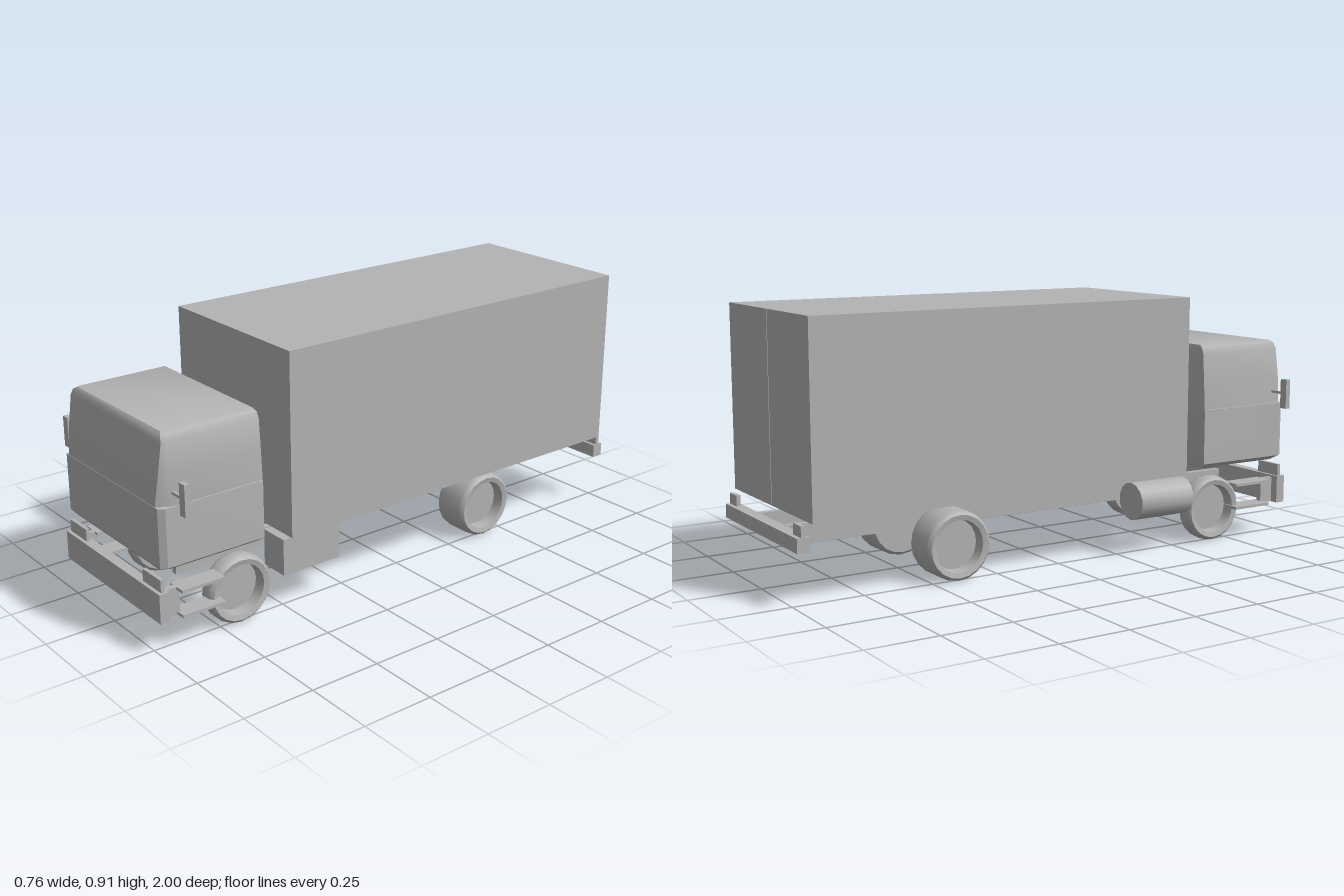
import * as THREE from 'three';
import { toCreasedNormals } from 'three/addons/utils/BufferGeometryUtils.js';

const grey = new THREE.MeshStandardMaterial({ color: 0xb3b3b3 });
grey.name = 'plain grey';

export function createModel() {
  const model = new THREE.Group();
  model.name = 'boxTruck';

  const add = (name, geometry) => {
    const mesh = new THREE.Mesh(geometry, grey);
    mesh.name = name;
    model.add(mesh);
    return mesh;
  };
  // Box given by its limits on each axis
  const box = (name, x0, x1, y0, y1, z0, z1) =>
    add(name, new THREE.BoxGeometry(x1 - x0, y1 - y0, z1 - z0)
      .translate((x0 + x1) / 2, (y0 + y1) / 2, (z0 + z1) / 2));
  // The same box on both sides
  const pair = (name, x0, x1, ...rest) => {
    box(name + 'Left', x0, x1, ...rest);
    box(name + 'Right', -x1, -x0, ...rest);
  };

  // Cargo body with two rear doors
  box('cargoBody', -0.322, 0.322, 0.275, 0.915, -0.952, 0.507);
  pair('rearDoor', 0.002, 0.322, 0.275, 0.915, -0.956, -0.952);

  // Chassis
  pair('chassisRail', 0.098, 0.12, 0.165, 0.232, -0.96, 0.83);
  box('crossMember', -0.098, 0.098, 0.18, 0.22, 0.36, 0.44);

  // Rear bumper and its brackets
  box('rearBumper', -0.3, 0.3, 0.183, 0.231, -1, -0.957);
  pair('rearBracket', 0.238, 0.297, 0.231, 0.268, -0.985, -0.97);

  // Front bumper, brackets and steps
  box('frontBumper', -0.3, 0.3, 0.116, 0.218, 0.964, 1);
  pair('frontBracket', 0.182, 0.29, 0.218, 0.261, 0.975, 0.988);
  for (const y of [0.113, 0.2]) pair('step', 0.235, 0.305, y, y + 0.01, 0.76, 0.92);
  pair('stepArm', 0.25, 0.27, 0.116, 0.21, 0.91, 0.966);

  // Battery box and fuel tank
  box('batteryBox', 0.18, 0.29, 0.13, 0.26, 0.29, 0.52);
  const tank = new THREE.CylinderGeometry(0.068, 0.068, 0.23, 14).rotateX(Math.PI / 2);
  add('fuelTank', toCreasedNormals(tank, 0.7)).position.set(-0.28, 0.195, 0.405);

  // Wheels: closed inner face, rounded tread, recessed outer rim
  const wheel = (name, inner, outer, z, side) => {
    const h = (outer - inner) / 2;
    const profile = [
      [0, -h], [0.09, -h], [0.108, -h], [0.117, -h + 0.008], [0.12, -h + 0.02],
      [0.12, h - 0.02], [0.117, h - 0.008], [0.108, h], [0.09, h - 0.004],
      [0.086, h - 0.045], [0, h - 0.045],
    ].map(([r, y]) => new THREE.Vector2(r, y));
    const geometry = new THREE.LatheGeometry(profile, 20).rotateZ(-side * Math.PI / 2);
    add(name, toCreasedNormals(geometry, 0.7)).position.set(side * (inner + outer) / 2, 0.122, z);
  };
  for (const side of [1, -1]) {
    const label = side > 0 ? 'Left' : 'Right';
    wheel('frontWheel' + label, 0.21, 0.276, 0.678, side);
    wheel('rearWheel' + label, 0.14, 0.276, -0.408, side);
  }

  // Cab: rings stacked upward [y, half width, front z, corner cut in x, corner cut in z, back z]
  const levels = [
    [0.283, 0.278, 0.972, 0.015, 0.03, 0.612],
    [0.3, 0.302, 0.985, 0.015, 0.02, 0.603],
    [0.5, 0.302, 0.985, 0.015, 0.02, 0.603],
    [0.501, 0.3, 0.984, 0.027, 0.045, 0.603],
    [0.6, 0.294, 0.972, 0.014, 0.03, 0.603],
    [0.705, 0.286, 0.957, 0.005, 0.015, 0.603],
    [0.726, 0.277, 0.952, 0.005, 0.012, 0.604],
    [0.735, 0.262, 0.943, 0.005, 0.01, 0.608],
  ];
  const points = [];
  const index = [];
  for (const [y, x, zf, cx, cz, zb] of levels) {
    points.push(-x + cx, y, zf, x - cx, y, zf, x, y, zf - cz, x, y, zb, -x, y, zb, -x, y, zf - cz);
  }
  const last = levels.length - 1;
  for (let i = 0; i < last; i++) {
    for (let j = 0; j < 6; j++) {
      const a = i * 6 + j, b = i * 6 + (j + 1) % 6;
      index.push(a, b, a + 6, b, b + 6, a + 6);
    }
  }
  for (let j = 1; j < 5; j++) {
    index.push(last * 6, last * 6 + j, last * 6 + j + 1);
    index.push(0, j + 1, j);
  }
  const cab = new THREE.BufferGeometry();
  cab.setAttribute('position', new THREE.Float32BufferAttribute(points, 3));
  cab.setIndex(index);
  add('cab', toCreasedNormals(cab, 0.6));

  // Mirrors on arms
  pair('mirrorArm', 0.29, 0.352, 0.541, 0.55, 0.928, 0.937);
  pair('mirror', 0.35, 0.38, 0.49, 0.598, 0.923, 0.942);

  return model;
}
